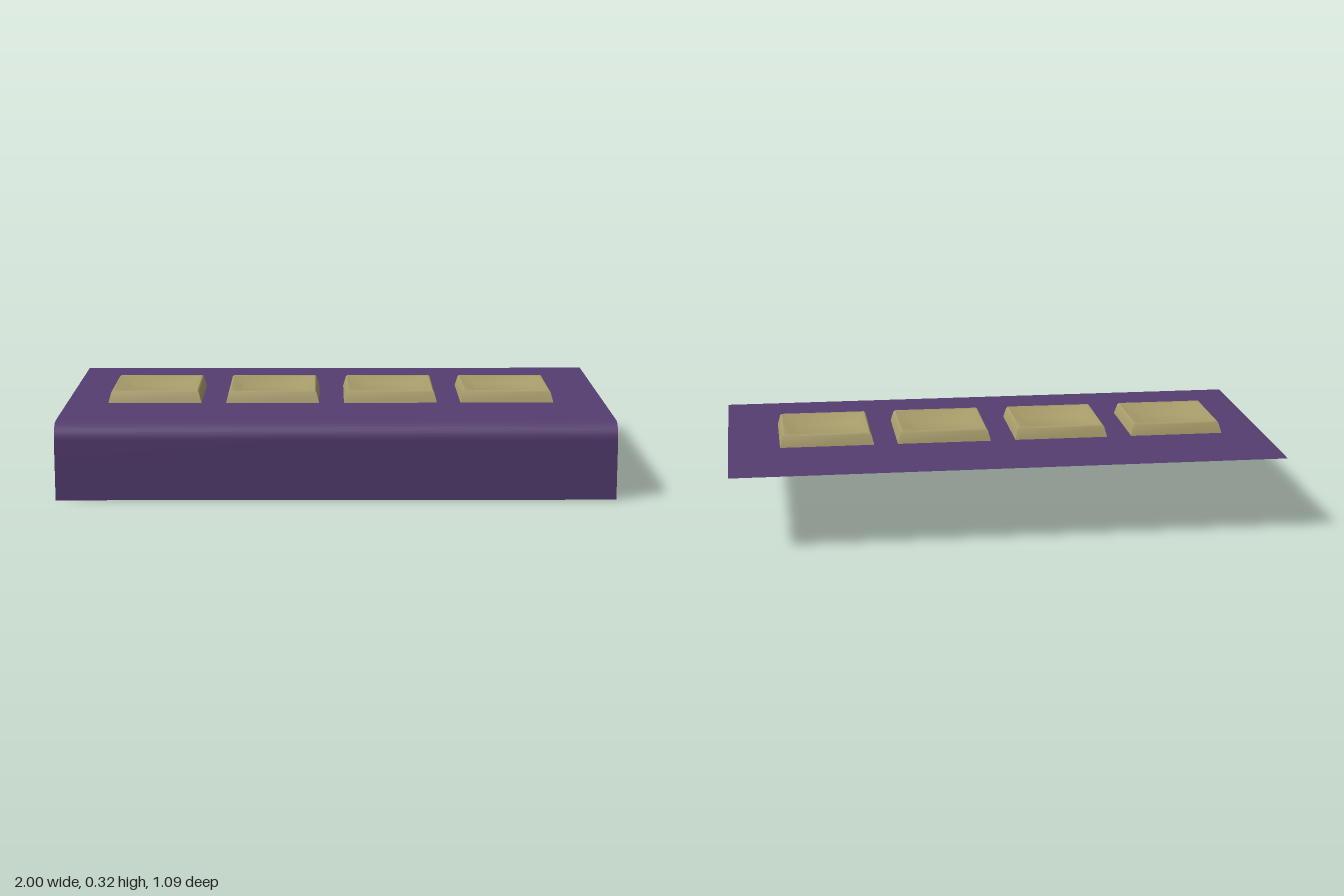
import * as THREE from 'three';
import { toCreasedNormals } from 'three/addons/utils/BufferGeometryUtils.js';

const purple = new THREE.MeshStandardMaterial({ color: 0x553d70, side: THREE.DoubleSide });
purple.name = 'purple sheet';
const gold = new THREE.MeshStandardMaterial({ color: 0xa99d6b, side: THREE.DoubleSide });
gold.name = 'muted gold';

const TOP = 0.278, HALF_DEPTH = 0.547, BEND = 0.06;

// Thin sheet: flat top that bends down into a front skirt
function createSheet() {
  const profile = [[-HALF_DEPTH, TOP]];
  const steps = 10;
  for (let i = 0; i <= steps; i++) {
    const a = (i / steps) * Math.PI / 2;
    profile.push([HALF_DEPTH - BEND + BEND * Math.sin(a), TOP - BEND + BEND * Math.cos(a)]);
  }
  profile.push([HALF_DEPTH, 0]);
  const geo = new THREE.PlaneGeometry(2, 1, 1, profile.length - 1);
  const pos = geo.attributes.position;
  for (let i = 0; i < pos.count; i++) {
    const [z, y] = profile[Math.floor(i / 2)];
    pos.setXYZ(i, pos.getX(i), y, z);
  }
  geo.computeVertexNormals();
  const mesh = new THREE.Mesh(geo, purple);
  mesh.name = 'bentSheet';
  return mesh;
}

// Square button from stacked square rings: sloping sides, rim, sunken dish
function createButton(floor) {
  // each ring: half width, half depth, height, centre x, centre z
  const rings = [
    [0.176, 0.176, 0.268, 0, 0],
    [0.163, 0.161, 0.316, 0, 0],
    [0.157, 0.155, 0.322, 0, 0],
    [0.143, 0.143, 0.320, 0, 0],
    [floor.w, floor.d, 0.296, floor.x, floor.z],
  ];
  const corners = [[-1, 1], [1, 1], [1, -1], [-1, -1]];
  const points = [], index = [];
  for (const [w, d, y, x, z] of rings) {
    for (const [sx, sz] of corners) points.push(x + sx * w, y, z + sz * d);
  }
  for (let r = 0; r < rings.length - 1; r++) {
    for (let j = 0; j < 4; j++) {
      const a = r * 4 + j, b = r * 4 + (j + 1) % 4;
      index.push(a, b, b + 4, a, b + 4, a + 4);
    }
  }
  const f = (rings.length - 1) * 4;
  index.push(f, f + 1, f + 2, f, f + 2, f + 3);
  const geo = new THREE.BufferGeometry();
  geo.setAttribute('position', new THREE.Float32BufferAttribute(points, 3));
  geo.setIndex(index);
  return new THREE.Mesh(toCreasedNormals(geo, 0.85), gold);
}

export function createModel() {
  const model = new THREE.Group();
  model.name = 'buttonPanel';
  model.add(createSheet());

  // Row of four buttons, each with a slightly different dish floor
  const buttons = [
    [-0.673, { w: 0.088, d: 0.078, x: 0, z: -0.012 }],
    [-0.235, { w: 0.108, d: 0.07, x: -0.005, z: 0.01 }],
    [0.204, { w: 0.092, d: 0.078, x: 0, z: -0.022 }],
    [0.638, { w: 0.1, d: 0.085, x: -0.005, z: -0.012 }],
  ];
  buttons.forEach(([x, floor], i) => {
    const button = createButton(floor);
    button.name = `button${i + 1}`;
    button.position.x = x;
    model.add(button);
  });
  return model;
}
